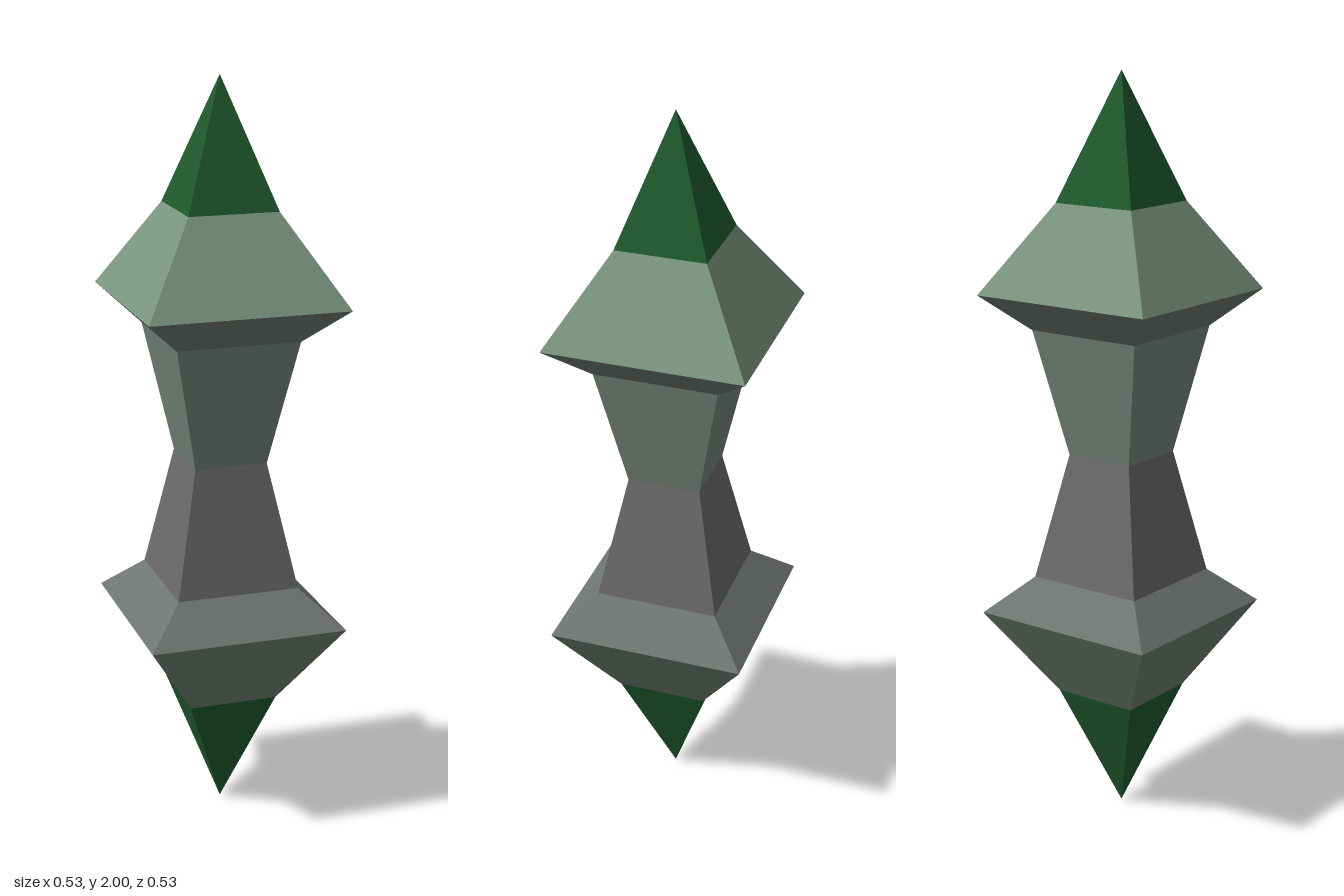
import * as THREE from 'three';

// Four-sided open section between two heights, sized by half-widths
function section(name, color, [lowHalf, lowY], [highHalf, highY]) {
  const geometry = new THREE.CylinderGeometry(
    highHalf * Math.SQRT2, lowHalf * Math.SQRT2, highY - lowY, 4, 1, true);
  geometry.rotateY(Math.PI / 4);
  geometry.translate(0, (lowY + highY) / 2, 0);
  const mesh = new THREE.Mesh(geometry,
    new THREE.MeshStandardMaterial({ color, flatShading: true }));
  mesh.name = name;
  return mesh;
}

export function createModel() {
  const group = new THREE.Group();
  group.name = 'doubleEndedCrystal';

  // Square outline from bottom to top: [half-width, y]
  const tipBottom = [0, 0], kneeBottom = [0.12, 0.335];
  const rimBottom = [0.265, 0.57], collarBottom = [0.165, 0.665];
  const waist = [0.098, 1];
  const collarTop = [0.165, 1.338], rimTop = [0.265, 1.433];
  const kneeTop = [0.12, 1.667], tipTop = [0, 2];

  group.add(
    // Lower spike and flange
    section('lowerTip', 0x1f5a2c, tipBottom, kneeBottom),
    section('lowerFlangeUnderside', 0x6f8272, kneeBottom, rimBottom),
    section('lowerFlangeTop', 0x6f7570, rimBottom, collarBottom),
    // Pinched grip
    section('lowerGrip', 0x6c6a6a, collarBottom, waist),
    section('upperGrip', 0x74857a, waist, collarTop),
    // Upper flange and spike
    section('upperFlangeUnderside', 0x737a74, collarTop, rimTop),
    section('upperFlangeTop', 0x7a9680, rimTop, kneeTop),
    section('upperTip', 0x1f5a2c, kneeTop, tipTop)
  );
  return group;
}
